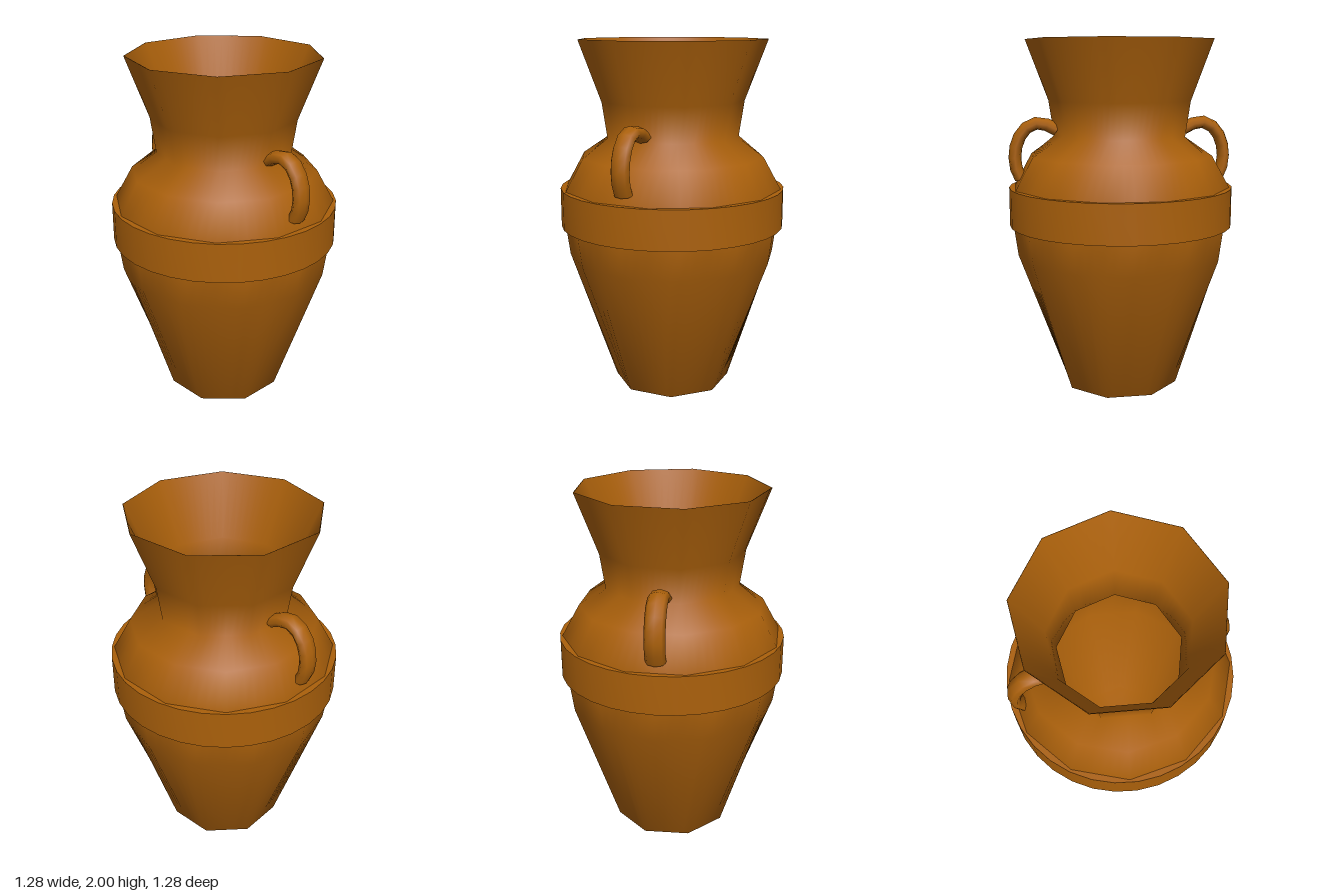
import * as THREE from 'three';
import { toCreasedNormals } from 'three/addons/utils/BufferGeometryUtils.js';

const clay = new THREE.MeshStandardMaterial({ color: 0xaa600b });
const clayThin = new THREE.MeshStandardMaterial({ color: 0xaa600b, side: THREE.DoubleSide });

const SAMPLES = 72;
const deg = Math.PI / 180;

// Radius of an n-sided polygon (corner radius r, first corner at phase) at angle a
function polygonRadius(r, n, phase, a) {
  const step = (2 * Math.PI) / n;
  const t = (((a - phase * deg) % step) + step) % step;
  return (r * Math.cos(step / 2)) / Math.cos(t - step / 2);
}

// Skin a stack of polygonal rings [y, radius, sides, phase], shaded as if round
function loftRings(rings) {
  const pos = [], index = [];
  rings.forEach(([y, r, n, phase], i) => {
    for (let j = 0; j < SAMPLES; j++) {
      const a = (j / SAMPLES) * 2 * Math.PI;
      const d = polygonRadius(r, n, phase, a);
      pos.push(d * Math.cos(a), y, d * Math.sin(a));
      if (i === rings.length - 1) continue;
      const k = (j + 1) % SAMPLES, row = i * SAMPLES, next = row + SAMPLES;
      index.push(row + j, next + j, row + k, row + k, next + j, next + k);
    }
  });
  const geo = new THREE.BufferGeometry();
  geo.setAttribute('position', new THREE.Float32BufferAttribute(pos, 3));
  geo.setIndex(index);
  geo.computeVertexNormals();
  const nor = geo.attributes.normal;
  for (let v = 0; v < nor.count; v++) {
    const a = ((v % SAMPLES) / SAMPLES) * 2 * Math.PI;
    const c = Math.cos(a), s = Math.sin(a);
    const h = Math.sign(nor.getX(v) * c + nor.getZ(v) * s) * Math.hypot(nor.getX(v), nor.getZ(v));
    nor.setXYZ(v, h * c, nor.getY(v), h * s);
  }
  return geo;
}

function named(name, geo, material) {
  const mesh = new THREE.Mesh(geo, material);
  mesh.name = name;
  return mesh;
}

export function createModel() {
  const vase = new THREE.Group();
  vase.name = 'vase';

  // Thick wall: up the outside to a sharp rim, then down the inside to the floor
  const outside = [
    [0, 0.001, 8, 20], [0, 0.335, 8, 20], [0.77, 0.595, 12, 0], [0.95, 0.62, 12, 0],
    [1.17, 0.625, 12, 15], [1.35, 0.525, 12, 15], [1.46, 0.38, 9, 5],
    [1.66, 0.41, 9, 5], [2, 0.537, 9, 5],
  ];
  const inside = [
    [2, 0.532, 9, 5], [1.66, 0.385, 9, 5], [1.46, 0.34, 9, 5], [1.32, 0.485, 12, 15],
    [1.17, 0.585, 12, 15], [0.95, 0.59, 12, 0], [0.77, 0.565, 12, 0],
    [0.05, 0.31, 8, 20], [0.05, 0.001, 8, 20],
  ];
  vase.add(named('body', loftRings([...outside, ...inside]), clay));

  // Raised band around the belly
  const bandProfile = [[0.59, 0.95], [0.64, 0.95], [0.64, 1.17], [0.59, 1.17]]
    .map(([x, y]) => new THREE.Vector2(x, y));
  vase.add(named('band', toCreasedNormals(new THREE.LatheGeometry(bandProfile, 32), 0.6), clay));

  // Loop handles between neck and shoulder, wider than they are thick
  const handlePath = new THREE.CatmullRomCurve3(
    [[0.365, 1.495], [0.41, 1.52], [0.48, 1.533], [0.55, 1.495], [0.597, 1.4], [0.6, 1.29], [0.572, 1.22]]
      .map(([x, y]) => new THREE.Vector3(x, y, 0)));
  for (const side of [1, -1]) {
    const geo = new THREE.TubeGeometry(handlePath, 8, 0.036, 8, false);
    geo.scale(1, 1, 1.55);
    if (side < 0) geo.rotateY(Math.PI);
    vase.add(named(side > 0 ? 'leftHandle' : 'rightHandle', geo, clayThin));
  }
  return vase;
}
